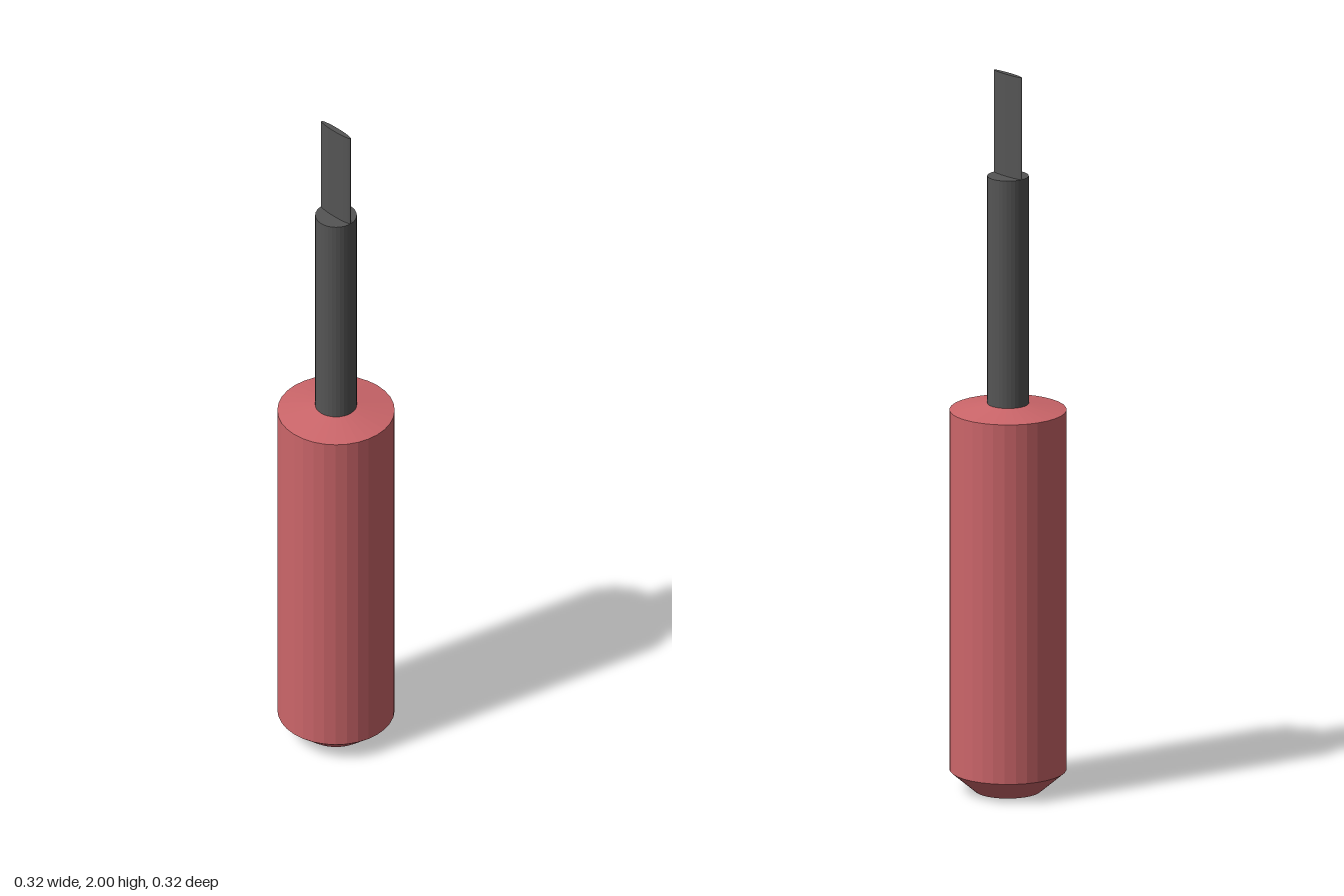
import * as THREE from 'three';

const SIDES = 32;

export function createModel() {
  const group = new THREE.Group();
  const red = new THREE.MeshStandardMaterial({ color: 0xcc666a, flatShading: true });
  const steel = new THREE.MeshStandardMaterial({ color: 0x555555, flatShading: true });

  const add = (name, geometry, material, y = 0) => {
    const mesh = new THREE.Mesh(geometry, material);
    mesh.name = name;
    mesh.position.y = y;
    group.add(mesh);
    return mesh;
  };

  // Grip with a chamfered butt and a shallow conical shoulder
  const profile = [[0, 0], [0.09, 0], [0.158, 0.058], [0.158, 1.062], [0.056, 1.08], [0, 1.08]]
    .map(([r, y]) => new THREE.Vector2(r, y));
  add('handle', new THREE.LatheGeometry(profile, SIDES), red);

  // Round shaft, seated slightly inside the grip
  const shaftBottom = 1.06, shaftTop = 1.715;
  add('shaft', new THREE.CylinderGeometry(0.056, 0.056, shaftTop - shaftBottom, SIDES),
    steel, (shaftTop + shaftBottom) / 2);

  // Thin flat blade with an elliptical section
  const blade = new THREE.CylinderGeometry(0.056, 0.056, 2 - shaftTop, SIDES);
  blade.scale(0.145, 1, 1);
  add('blade', blade, steel, (2 + shaftTop) / 2);

  return group;
}
